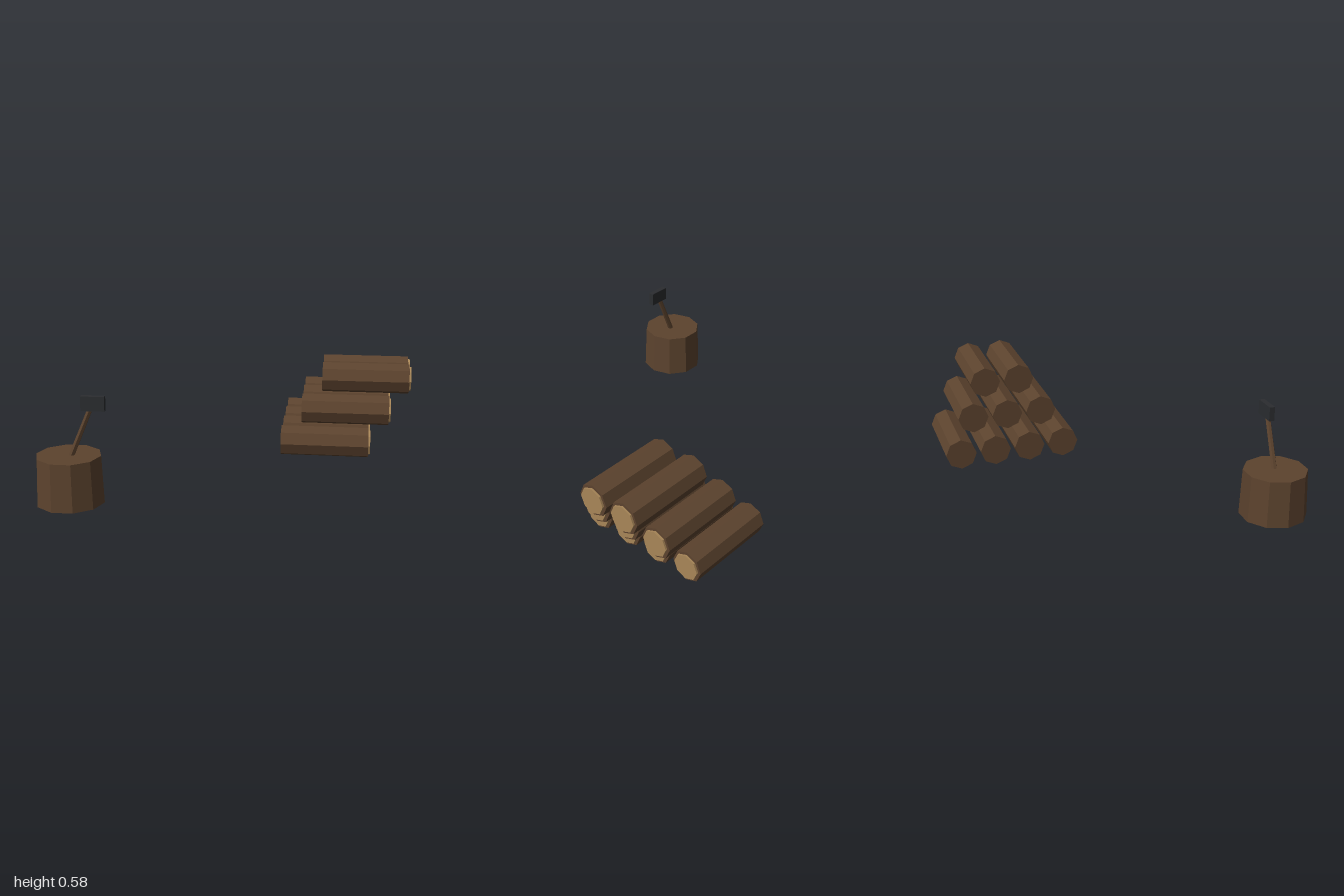
import * as THREE from 'three';

const mat = (name, color) => {
  const m = new THREE.MeshStandardMaterial({ color, flatShading: true });
  m.name = name;
  return m;
};

export function createModel() {
  const bark = mat('bark brown', 0x5c432e);
  const cutWood = mat('cut wood', 0xa88658);
  const iron = mat('dark iron', 0x2b2d30);

  const model = new THREE.Group();
  model.name = 'woodpile';
  const add = (parent, name, geometry, material, x = 0, y = 0, z = 0) => {
    const mesh = new THREE.Mesh(geometry, material);
    mesh.name = name;
    mesh.position.set(x, y, z);
    parent.add(mesh);
    return mesh;
  };

  // Logs lying along x, with a pale cut face on the +x end
  const logLength = 0.516;
  const logGeo = new THREE.CylinderGeometry(0.0905, 0.0905, logLength, 8).rotateZ(-Math.PI / 2);
  const cutGeo = new THREE.CylinderGeometry(0.075, 0.075, 0.02, 8).rotateZ(-Math.PI / 2);

  // Three rows of 4, 3 and 2, each row shifted along x
  const spacing = 0.206;
  const pile = new THREE.Group();
  pile.name = 'logPile';
  model.add(pile);
  for (let row = 0; row < 3; row++) {
    for (let i = 0; i < 4 - row; i++) {
      const log = new THREE.Group();
      log.name = 'log';
      log.position.set(0.498 + row * 0.116, 0.1 + row * 0.172, -0.17 - (i + row / 2) * spacing);
      add(log, 'logBark', logGeo, bark);
      add(log, 'logCutEnd', cutGeo, cutWood, logLength / 2 + 0.001);
      pile.add(log);
    }
  }

  // Ten-sided chopping block, slightly wider at the foot
  const stumpX = -0.816, stumpZ = 0.7035;
  const stumpGeo = new THREE.CylinderGeometry(0.174, 0.184, 0.26, 10).rotateY(Math.PI / 2);
  add(model, 'choppingBlock', stumpGeo, bark, stumpX, 0.13, stumpZ);

  // Axe stuck in the block: leaning handle and upright head
  const axe = new THREE.Group();
  axe.name = 'axe';
  model.add(axe);
  const foot = new THREE.Vector3(-0.825, 0.2, stumpZ);
  const tip = new THREE.Vector3(-0.675, 0.55, stumpZ);
  const along = tip.clone().sub(foot);
  const handle = add(axe, 'axeHandle', new THREE.CylinderGeometry(0.014, 0.016, along.length(), 6), bark);
  handle.position.copy(foot).add(tip).multiplyScalar(0.5);
  handle.rotation.z = -Math.atan2(along.x, along.y);
  add(axe, 'axeHead', new THREE.BoxGeometry(0.126, 0.078, 0.03), iron, -0.675, 0.544, stumpZ);

  return model;
}
